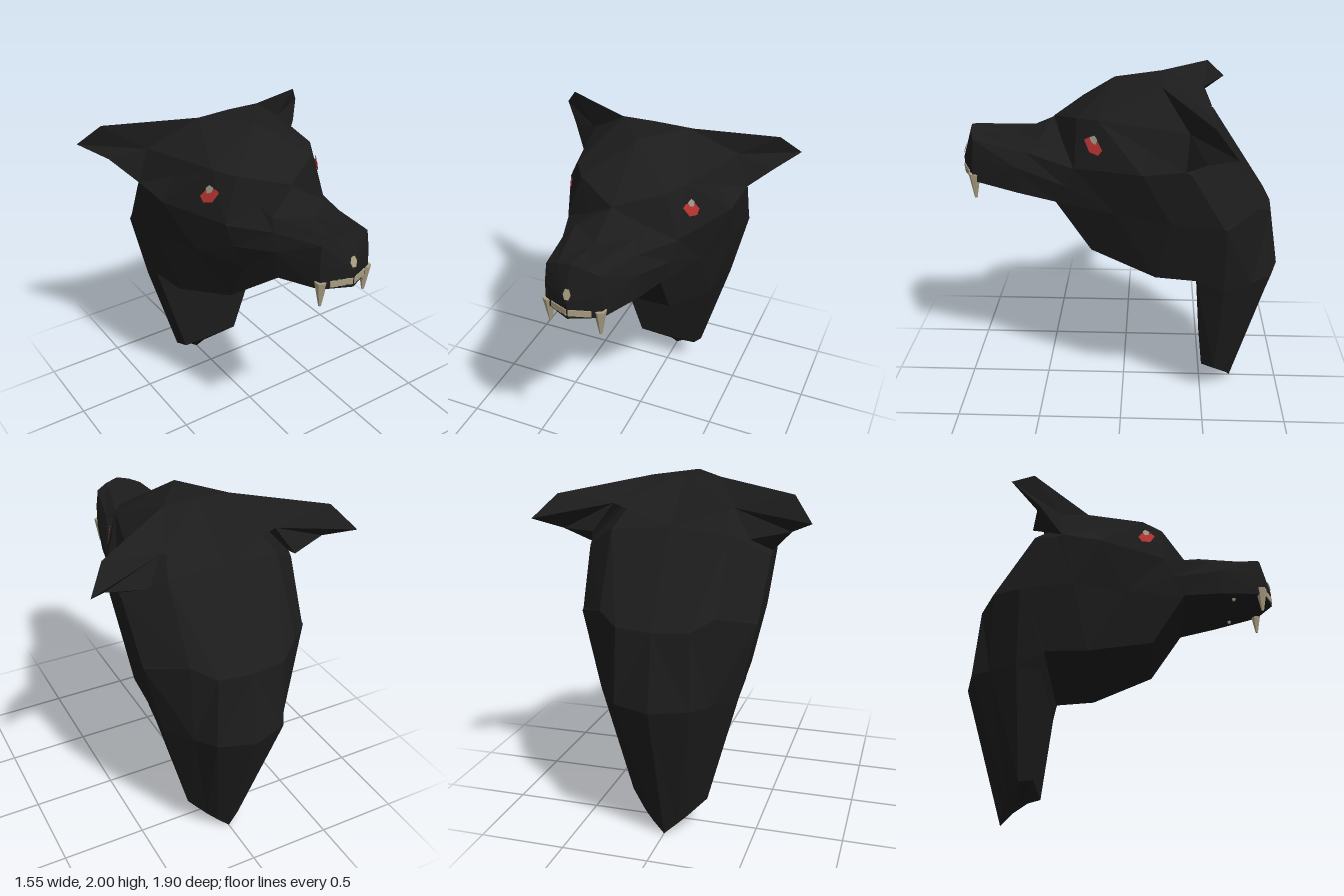
import * as THREE from 'three';

const mat = (name, color) => {
  const m = new THREE.MeshStandardMaterial({ color, flatShading: true, side: THREE.DoubleSide });
  m.name = name;
  return m;
};
const flip = ([x, y, z]) => [-x, y, z];
const gap = (p, q) => Math.hypot(p[0] - q[0], p[1] - q[1], p[2] - q[2]);

// Flat-faced mesh from triangles, each made of three [x, y, z] corners
function triMesh(name, tris, material) {
  const g = new THREE.BufferGeometry();
  g.setAttribute('position', new THREE.Float32BufferAttribute(tris.flat(2), 3));
  g.computeVertexNormals();
  const m = new THREE.Mesh(g, material);
  m.name = name;
  return m;
}

// Half cross-section to full ring: crown on the centre line, flank points
// (brow, side, cheek, jaw), then an underside level with the jaw, all mirrored
function ring(crownY, crownZ, flank, lip = 0) {
  const jaw = flank[flank.length - 1];
  return [[0, crownY, crownZ], ...flank, [0, jaw[1], jaw[2] + lip], ...flank.map(flip).reverse()];
}

// Skin between successive rings, folding each quad along its shorter diagonal
function loft(rings) {
  const tris = [];
  for (let i = 0; i < rings.length - 1; i++) {
    const n = rings[i].length;
    for (let j = 0; j < n; j++) {
      const k = (j + 1) % n;
      const a = rings[i][j], b = rings[i][k], c = rings[i + 1][j], d = rings[i + 1][k];
      if (gap(b, c) < gap(a, d)) tris.push([a, b, c], [b, d, c]);
      else tris.push([a, b, d], [a, d, c]);
    }
  }
  return tris;
}

// Fan closing a ring around a centre point
const cap = (r, centre) => r.map((p, j) => [centre, p, r[(j + 1) % r.length]]);

// Nose, muzzle, stop, brow ridge, forehead, back of the skull
const headRings = [
  ring(1.71, 0.89, [[0.08, 1.69, 0.88], [0.15, 1.66, 0.86], [0.16, 1.55, 0.87], [0.16, 1.415, 0.875]], 0.075),
  ring(1.67, 0.62, [[0.18, 1.66, 0.48], [0.22, 1.615, 0.55], [0.25, 1.53, 0.6], [0.24, 1.375, 0.6]]),
  ring(1.76, 0.41, [[0.165, 1.66, 0.34], [0.33, 1.56, 0.27], [0.315, 1.45, 0.32], [0.28, 1.34, 0.38]]),
  ring(1.77, 0.4, [[0.25, 1.825, 0.25], [0.335, 1.565, 0.262], [0.315, 1.45, 0.315], [0.28, 1.335, 0.375]]),
  ring(2.0, 0.05, [[0.33, 1.84, 0.13], [0.51, 1.59, -0.12], [0.39, 1.31, 0.03], [0.26, 1.03, 0.18]]),
  ring(1.995, -0.22, [[0.2, 1.99, -0.22], [0.53, 1.62, -0.35], [0.49, 1.3, -0.28], [0.39, 0.92, -0.2]]),
];

// Nape, shoulder bend, lower neck, pointed end
const neckRings = [
  headRings[5],
  ring(1.75, -0.54, [[0.33, 1.73, -0.54], [0.525, 1.6, -0.385], [0.5, 1.28, -0.575], [0.41, 0.91, -0.44]]),
  ring(1.26, -0.88, [[0.2, 1.27, -0.86], [0.32, 1.33, -0.775], [0.5, 1.27, -0.59], [0.41, 0.9, -0.445]]),
  ring(0.84, -0.95, [[0.21, 0.85, -0.89], [0.29, 0.84, -0.77], [0.4, 0.83, -0.6], [0.375, 0.79, -0.46]]),
  ring(0, -0.7, [[0.07, 0.06, -0.68], [0.13, 0.11, -0.65], [0.225, 0.195, -0.58], [0.2, 0.21, -0.5]]),
];

// Swept-back ear: a hollowed front and a folded back, set slightly unevenly
function earTriangles(side) {
  const dy = side > 0 ? -0.02 : 0.025, dz = side > 0 ? 0.01 : -0.015;
  const root = [0.2, 1.99, -0.22], brow = [0.33, 1.84, 0.13], base = [0.53, 1.62, -0.355];
  const top = [0.665, 1.922 + dy, -0.5 + dz], tip = [0.775, 1.795 + dy, -0.615 + dz];
  const low = [0.65, 1.725 + dy, -0.47 + dz];
  const hollow = [0.46, 1.81, -0.37], fold = [0.34, 1.86, -0.48], heel = [0.44, 1.71, -0.54];
  const crown = [0, 1.995, -0.22], nape = [0, 1.75, -0.54];
  const tris = [
    ...cap([root, top, tip, low, base, brow], hollow),
    ...cap([root, heel, low, tip, top], fold),
    [low, heel, base], [root, crown, fold], [fold, crown, nape],
  ];
  return side > 0 ? tris : tris.map(([a, b, c]) => [flip(a), flip(c), flip(b)]);
}

// Flat polygon laid on the eye-socket plane, lifted a little
function socketPlate(name, outline, lift, side, material) {
  const centre = new THREE.Vector3(0.356, 1.703, 0.15);
  const u = new THREE.Vector3(0.175, 0.025, -0.382).normalize();
  const normal = u.clone().cross(new THREE.Vector3(-0.005, 0.275, -0.132)).normalize();
  const v = normal.clone().cross(u);
  const pts = outline.map(([a, b]) => {
    const p = centre.clone().addScaledVector(u, a).addScaledVector(v, b).addScaledVector(normal, lift);
    return [p.x * side, p.y, p.z];
  });
  if (side < 0) pts.reverse();
  const tris = [];
  for (let i = 1; i < pts.length - 1; i++) tris.push([pts[0], pts[i + 1], pts[i]]);
  return triMesh(name, tris, material);
}

export function createModel() {
  const model = new THREE.Group();
  model.name = 'beastBust';
  const fur = mat('black fur', 0x1c1c1c);
  const ivory = mat('ivory', 0xaa9f82);
  const red = mat('eye red', 0xb83430);
  const pale = mat('eye glint', 0xa09888);

  const noseFace = cap([...headRings[0]].reverse(), [0, 1.51, 0.95]);
  const neckEnd = cap(neckRings[4], [0, 0.12, -0.59]);
  model.add(triMesh('head', [...loft(headRings), ...noseFace], fur));
  model.add(triMesh('neck', [...loft(neckRings), ...neckEnd], fur));

  const addPart = (name, geometry, x, y, z) => {
    const m = new THREE.Mesh(geometry, ivory);
    m.position.set(x, y, z);
    m.name = name;
    model.add(m);
    return m;
  };

  for (const side of [1, -1]) {
    model.add(triMesh(side > 0 ? 'leftEar' : 'rightEar', earTriangles(side), fur));

    // Eyes
    const iris = [[-0.055, 0.03], [-0.03, 0.045], [0.03, 0.025], [0.06, -0.02], [0.035, -0.05], [-0.02, -0.035]];
    const glint = [[-0.02, 0.048], [0.01, 0.058], [0.03, 0.035], [0.018, 0.008], [-0.008, 0.02]];
    model.add(socketPlate('eye', iris, 0.009, side, red));
    model.add(socketPlate('eyeGlint', glint, 0.013, side, pale));

    // Blunt canines and small back teeth
    addPart('canine', new THREE.CylinderGeometry(0.035, 0.008, 0.15, 6), side * 0.146, 1.38, 0.865);
    addPart('backTooth', new THREE.CylinderGeometry(0.018, 0.008, 0.04, 5), side * 0.15, 1.392, 0.69);

    // Incisors along the front lip
    for (let i = 0; i < 3; i++) {
      const x = 0.02 + i * 0.036;
      const tooth = new THREE.BoxGeometry(0.04, 0.036, 0.02);
      addPart('incisor', tooth, side * x, 1.452 - i * 0.004, 0.944 - x * 0.45).rotation.y = side * 0.43;
    }
  }

  // Small ivory chip set flat on the nose
  const chip = addPart('noseChip', new THREE.CircleGeometry(0.034, 6), 0, 1.56, 0.94);
  chip.rotation.x = -0.29;
  chip.scale.x = 0.65;

  return model;
}
